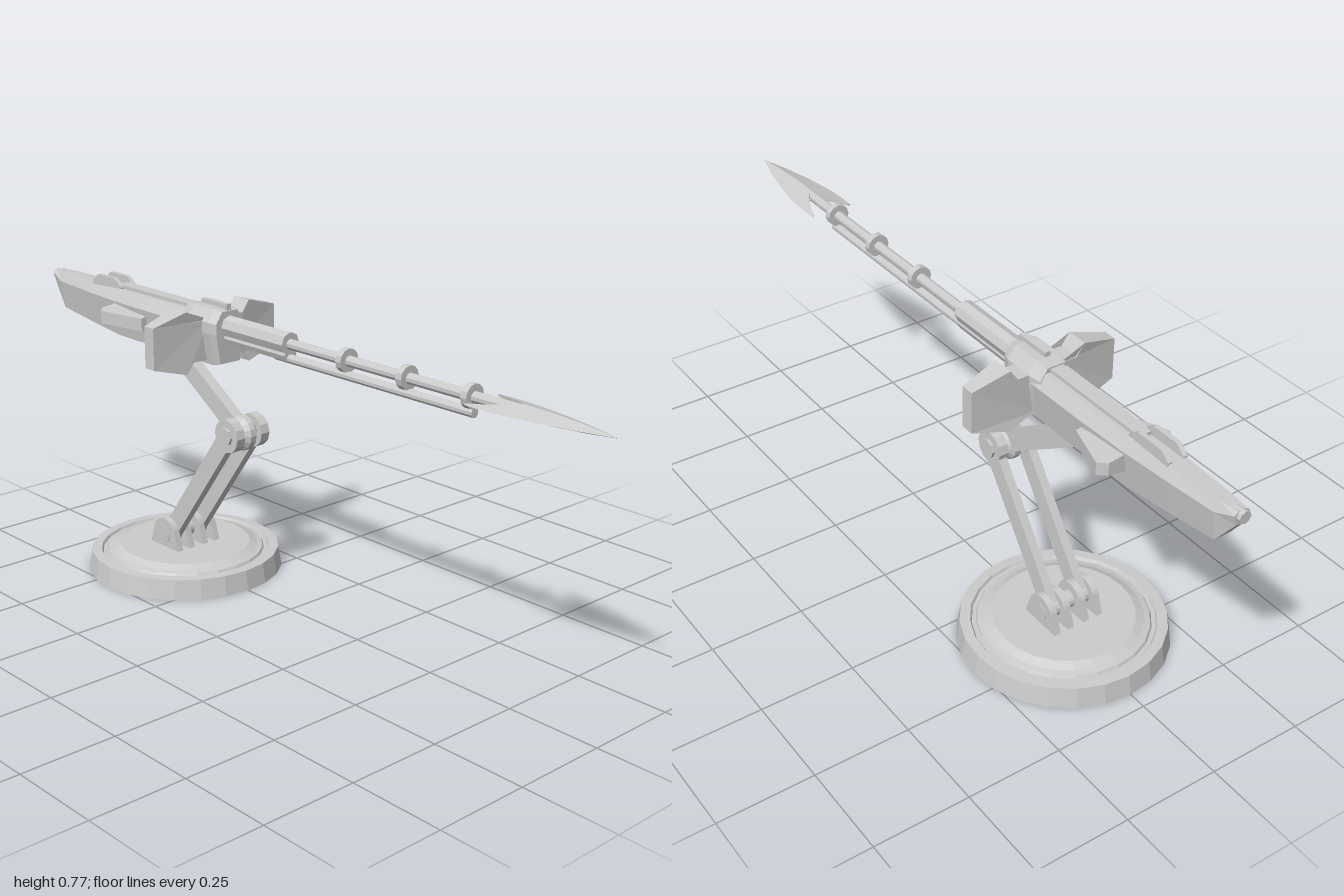
import * as THREE from 'three';

const material = new THREE.MeshStandardMaterial({ color: 0xcccccc, flatShading: true });

// Closed solid through cross-sections: z increasing, points counter-clockwise seen from +z
function loft(sections) {
  const pos = [];
  const tri = (a, b, c) => pos.push(...a, ...b, ...c);
  const n = sections[0].length;
  for (let i = 0; i < sections.length - 1; i++) {
    for (let j = 0; j < n; j++) {
      const k = (j + 1) % n;
      const a = sections[i][j], b = sections[i][k], c = sections[i + 1][k], d = sections[i + 1][j];
      tri(a, b, c);
      tri(a, c, d);
    }
  }
  const back = sections[0], front = sections[sections.length - 1];
  for (let j = 1; j < n - 1; j++) {
    tri(back[0], back[j + 1], back[j]);
    tri(front[0], front[j], front[j + 1]);
  }
  const g = new THREE.BufferGeometry();
  g.setAttribute('position', new THREE.Float32BufferAttribute(pos, 3));
  g.computeVertexNormals();
  return g;
}

const mirror = (sections) => sections.map((s) => s.map(([x, y, z]) => [-x, y, z]).reverse());
const atZ = (points, z) => points.map(([x, y]) => [x, y, z]);

export function createModel() {
  const model = new THREE.Group();
  const add = (name, geometry, x = 0, y = 0, z = 0) => {
    const mesh = new THREE.Mesh(geometry, material);
    mesh.name = name;
    mesh.position.set(x, y, z);
    model.add(mesh);
    return mesh;
  };
  const box = (name, w, h, d, x, y, z) => add(name, new THREE.BoxGeometry(w, h, d), x, y, z);
  const axle = (name, r, w, x, y, z, sides = 16) =>
    add(name, new THREE.CylinderGeometry(r, r, w, sides).rotateZ(Math.PI / 2), x, y, z);
  const rod = (name, r, z0, z1, y, sides = 10, x = 0) =>
    add(name, new THREE.CylinderGeometry(r, r, z1 - z0, sides).rotateX(Math.PI / 2), x, y, (z0 + z1) / 2);
  // Straight bar between two points given as [y, z]
  const link = (name, w, d, x, [y0, z0], [y1, z1]) => {
    const bar = box(name, w, Math.hypot(y1 - y0, z1 - z0), d, x, (y0 + y1) / 2, (z0 + z1) / 2);
    bar.rotation.x = Math.atan2(z1 - z0, y1 - y0);
  };

  const foot = [0.105, -0.435], knee = [0.441, -0.187], mount = [0.64, -0.49];

  // Round base with a groove and raised centre
  const baseProfile = [[0, 0], [0.267, 0], [0.258, 0.054], [0.232, 0.055], [0.228, 0.048],
    [0.218, 0.048], [0.214, 0.055], [0.2, 0.058], [0.178, 0.068], [0, 0.068]];
  add('base', new THREE.LatheGeometry(baseProfile.map((p) => new THREE.Vector2(...p)), 24), 0, 0, foot[1]);

  // Four round-topped hinge plates and their pin
  const plate = new THREE.Shape();
  plate.moveTo(-0.062, 0.06);
  plate.lineTo(0.062, 0.06);
  plate.lineTo(0.044, 0.115);
  plate.absarc(0, 0.105, 0.045, 0.22, Math.PI - 0.22, false);
  plate.closePath();
  for (const x of [-0.064, -0.0235, 0.0235, 0.064]) {
    const g = new THREE.ExtrudeGeometry(plate, { depth: 0.018, bevelEnabled: false, curveSegments: 8 });
    add('hingePlate', g.translate(0, 0, -0.009).rotateY(Math.PI / 2), x, 0, foot[1]);
  }
  axle('hingePin', 0.023, 0.15, 0, ...foot);

  // Paired lower arms with knee discs and bolts
  for (const s of [-1, 1]) {
    link('lowerArm', 0.023, 0.05, s * 0.0435, foot, knee);
    axle('lowerArmEnd', 0.027, 0.023, s * 0.0435, ...foot);
    axle('kneeDisc', 0.045, 0.027, s * 0.0415, ...knee, 12);
    axle('kneeBolt', 0.025, 0.008, s * 0.058, ...knee, 8);
  }
  const hub = [[0, -0.03], [0.023, -0.03], [0.047, -0.009], [0.047, 0.009], [0.023, 0.03], [0, 0.03]];
  add('kneeHub', new THREE.LatheGeometry(hub.map((p) => new THREE.Vector2(...p)), 16).rotateZ(Math.PI / 2), 0, ...knee);
  link('upperArm', 0.032, 0.052, 0, knee, mount);

  // Main body tapering to the tail: z, half width, bottom, top
  const bodySections = [[-0.99, 0.021, 0.71, 0.744], [-0.94, 0.03, 0.643, 0.744], [-0.8, 0.039, 0.628, 0.744],
    [-0.67, 0.045, 0.615, 0.744], [-0.52, 0.05, 0.615, 0.744], [-0.3, 0.052, 0.615, 0.744]]
    .map(([z, w, b, t]) => {
      const shoulder = t - (t - b) * 0.25;
      return atZ([[0.7 * w, b], [w, shoulder], [0.6 * w, t], [-0.6 * w, t], [-w, shoulder], [-0.7 * w, b]], z);
    });
  add('body', loft(bodySections));
  rod('tailCap', 0.016, -1, -0.97, 0.73, 8);

  // Faceted front collar with a sight ridge along the spine
  const collar = [[0.038, 0.615], [0.053, 0.7], [0.053, 0.73], [0.03, 0.762], [-0.03, 0.762],
    [-0.053, 0.73], [-0.053, 0.7], [-0.038, 0.615]];
  const inner = collar.map(([x, y]) => [x * 0.85, 0.69 + (y - 0.69) * 0.93]);
  add('collar', loft([atZ(inner, -0.37), atZ(collar, -0.335), atZ(collar, -0.255), atZ(inner, -0.232)]));
  box('spine', 0.036, 0.016, 0.45, 0, 0.745, -0.46);
  box('collarRidge', 0.016, 0.02, 0.1, 0, 0.764, -0.285);

  // Rear sight: sloped rails either side of the spine
  for (const x of [-0.021, 0.021]) {
    const rail = (z, y) => atZ([[x - 0.006, 0.735], [x + 0.006, 0.735], [x + 0.006, y], [x - 0.006, y]], z);
    add('rearRail', loft([rail(-0.79, 0.748), rail(-0.765, 0.769), rail(-0.69, 0.769), rail(-0.66, 0.748)]));
  }

  // Shield wings, thinner towards their outer edge
  const wing = [[0.03, 0.625], [0.083, 0.625], [0.105, 0.596], [0.203, 0.623], [0.203, 0.733],
    [0.105, 0.761], [0.083, 0.731], [0.03, 0.731]];
  const wingSections = [-1, 1].map((side) =>
    wing.map(([x, y]) => [x, y, -0.308 + side * (x > 0.2 ? 0.018 : 0.029)]));
  // Swept side fins
  const fin = (z, x, y0, y1) => atZ([[0.025, y0], [x, y0 + 0.012], [x, y1 - 0.008], [0.025, y1]], z);
  const finSections = [fin(-0.67, 0.085, 0.655, 0.708), fin(-0.65, 0.104, 0.652, 0.706), fin(-0.525, 0.062, 0.645, 0.7)];
  for (const sections of [wingSections, mirror(wingSections)]) add('shieldWing', loft(sections));
  for (const sections of [finSections, mirror(finSections)]) add('sideFin', loft(sections));

  // Barrel sleeve, twin rods and clamps
  rod('upperSleeve', 0.029, -0.26, 0, 0.716, 8);
  rod('lowerSleeve', 0.02, -0.26, 0, 0.687, 8);
  rod('shaft', 0.014, -0.05, 0.78, 0.714);
  rod('guideRod', 0.012, -0.05, 0.61, 0.677);
  for (const z of [0.2, 0.4, 0.6]) {
    rod('clamp', 0.03, z - 0.009, z + 0.009, 0.715, 12);
    box('clampWeb', 0.014, 0.03, 0.014, 0, 0.69, z);
  }

  // Barbed spearhead: z, inner edge, outer edge, half thickness at the ridge
  const half = [[0.63, 0.054, 0.06, 0.002], [0.67, 0.04, 0.062, 0.006], [0.71, 0.022, 0.06, 0.011],
    [0.745, 0, 0.057, 0.016], [0.83, 0, 0.044, 0.015], [0.92, 0, 0.024, 0.009], [1, 0, 0.0005, 0.0005]]
    .map(([z, i, o, h]) => atZ([[o, 0.713], [i, 0.713 + h], [i, 0.713 - h]], z));
  for (const sections of [half, mirror(half)]) add('spearhead', loft(sections));

  return model;
}
